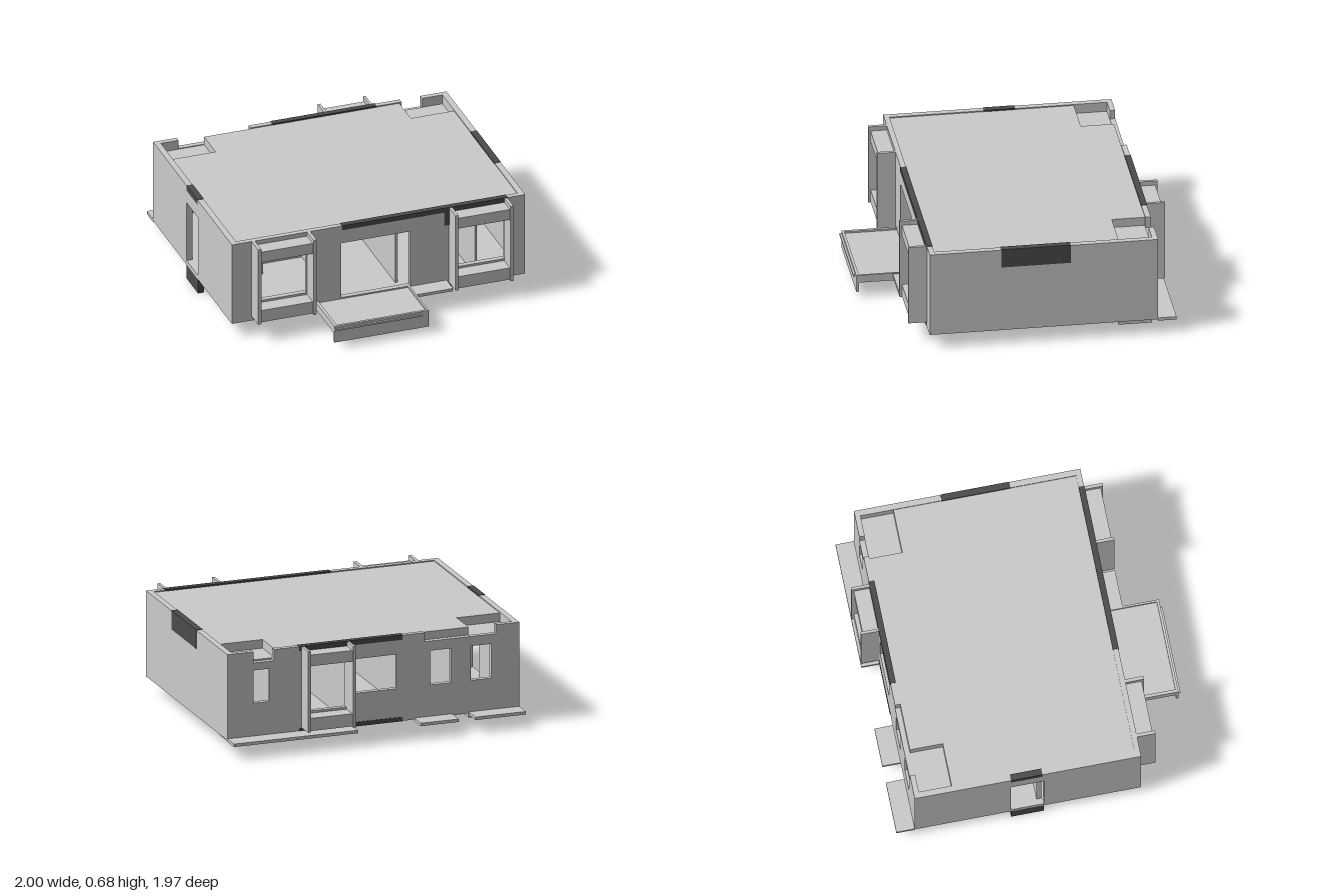
import * as THREE from 'three';

const grey = new THREE.MeshStandardMaterial({ color: 0xcccccc, flatShading: true });
const dark = new THREE.MeshStandardMaterial({ color: 0x4c4c4c, flatShading: true });

export function createModel() {
  const model = new THREE.Group();
  model.name = 'storeyModule';

  // Box given by its limits on each axis
  function box(name, x0, x1, y0, y1, z0, z1, material = grey) {
    const mesh = new THREE.Mesh(new THREE.BoxGeometry(x1 - x0, y1 - y0, z1 - z0), material);
    mesh.position.set((x0 + x1) / 2, (y0 + y1) / 2, (z0 + z1) / 2);
    mesh.name = name;
    model.add(mesh);
    return mesh;
  }

  // Outline extruded by a thickness, with rectangular holes [x0, x1, y0, y1]
  function panel(name, outline, holes, depth) {
    const shape = new THREE.Shape(outline.map(([x, y]) => new THREE.Vector2(x, y)));
    for (const [x0, x1, y0, y1] of holes) {
      shape.holes.push(new THREE.Path([[x0, y0], [x0, y1], [x1, y1], [x1, y0]].map(([x, y]) => new THREE.Vector2(x, y))));
    }
    const mesh = new THREE.Mesh(new THREE.ExtrudeGeometry(shape, { depth, bevelEnabled: false }), grey);
    mesh.name = name;
    model.add(mesh);
    return mesh;
  }

  const bottom = 0.1, top = 0.675, head = 0.55;

  // Outer walls
  panel('frontWall', [[-1, bottom], [1, bottom], [1, top], [-1, top]], [
    [-0.84, -0.49, 0.235, head],
    [-0.255, 0.215, 0.155, head],
    [0.5, 0.86, 0.235, head],
  ], 0.035).position.z = 0.58;

  panel('backWall', [
    [-1, bottom], [1, bottom], [1, top], [0.82, top], [0.82, 0.6], [0.68, 0.6], [0.68, top],
    [-0.35, top], [-0.35, 0.615], [-0.84, 0.615], [-0.84, top], [-1, top],
  ], [
    [-0.81, -0.67, 0.32, head],
    [-0.53, -0.39, 0.32, head],
    [-0.16, 0.14, 0.32, head],
    [0.185, 0.475, 0.235, head],
    [0.71, 0.82, 0.33, head],
  ], 0.035).position.z = -0.865;

  // Side wall outline runs along -z before it is turned to face sideways
  const leftWall = panel('sideWallWithDoor', [[-0.58, bottom], [0.83, bottom], [0.83, top], [-0.58, top]],
    [[0.02, 0.235, 0.13, head]], 0.04);
  leftWall.rotation.y = Math.PI / 2;
  leftWall.position.x = -1;
  box('solidSideWall', 0.96, 1, bottom, top, -0.83, 0.58);

  // Floor, and roof with two notched back corners
  box('floor', -0.96, 0.96, bottom, 0.13, -0.83, 0.58);
  const roof = panel('roof', [
    [-0.96, -0.58], [0.96, -0.58], [0.96, 0.615], [0.665, 0.615], [0.665, 0.83],
    [-0.665, 0.83], [-0.665, 0.615], [-0.96, 0.615],
  ], [], 0.11);
  roof.rotation.x = -Math.PI / 2;
  roof.position.y = 0.558;
  for (const [x0, x1] of [[-0.96, -0.665], [0.665, 0.96]]) {
    box('sunkenRoofCorner', x0, x1, 0.558, 0.61, -0.83, -0.615);
    box('sunkenFloorCorner', x0, x1, 0.06, bottom, -0.83, -0.615);
  }

  // Inner partitions
  const wallTop = 0.558;
  box('partition', -0.29, -0.255, 0.13, wallTop, -0.83, 0.58);
  box('partition', 0.155, 0.17, 0.13, wallTop, -0.83, 0.5);
  box('partition', 0.67, 0.685, 0.13, wallTop, -0.83, 0.58);
  box('partition', -0.62, -0.6, 0.13, wallTop, -0.83, 0.1);
  box('crossWall', -0.96, -0.29, 0.13, wallTop, -0.06, -0.03);
  box('crossWall', 0.17, 0.67, 0.13, wallTop, -0.16, -0.13);

  // Framed bays: two fins, a head box and a sill box
  function bay(x0, x1, fin, z0, z1) {
    box('bayFin', x0, x0 + fin, 0.13, top, z0, z1);
    box('bayFin', x1 - fin, x1, 0.13, top, z0, z1);
    const inset = z0 > 0 ? [z0, z1 - 0.015] : [z0 + 0.015, z1];
    box('bayHead', x0 + fin, x1 - fin, 0.57, 0.645, ...inset);
    box('baySill', x0 + fin, x1 - fin, 0.135, 0.22, ...inset);
  }
  bay(-0.865, -0.465, 0.022, 0.615, 0.735);
  bay(0.482, 0.877, 0.02, 0.615, 0.735);
  bay(0.165, 0.492, 0.018, -0.985, -0.865);

  // Ledges along the back
  for (const [x0, x1] of [[-1, -0.655], [-0.54, -0.28], [0.15, 1]]) {
    box('backLedge', x0, x1, 0.09, 0.11, -0.985, -0.865);
  }

  // Entrance porch
  box('porchSlab', -0.41, 0.2, 0.115, 0.145, 0.615, 0.955);
  box('porchLip', -0.43, -0.41, 0.105, 0.157, 0.615, 0.96);
  box('porchLip', 0.2, 0.213, 0.105, 0.157, 0.615, 0.96);
  box('porchApron', -0.43, 0.213, 0.04, 0.157, 0.955, 0.972);
  box('porchRail', -0.43, 0.165, 0.128, 0.14, 0.972, 0.985);
  box('porchSideLedge', 0.213, 0.465, 0.13, 0.15, 0.615, 0.735);

  // Dark trim strips and inset panels
  const trims = [
    ['frontTopTrim', -0.25, 0.88, 0.645, 0.678, 0.579, 0.618],
    ['frontDropTrim', 0.45, 0.482, 0.55, 0.67, 0.6, 0.618],
    ['frontBaseTrim', 0.45, 0.86, 0.098, 0.127, 0.579, 0.618],
    ['backTopTrim', -0.2, 0.51, 0.645, 0.678, -0.868, -0.829],
    ['backBaseTrim', -0.2, 0.51, 0.098, 0.127, -0.868, -0.829],
    ['sidePanel', 0.958, 1.001, 0.55, 0.678, -0.3, 0.15],
    ['doorHeadTrim', -1.001, -0.958, 0.64, 0.678, -0.235, -0.03],
    ['doorStep', -1, -0.96, 0, 0.1, -0.235, -0.02],
    ['underfloorBeam', -0.41, -0.375, 0.05, 0.1, -0.655, -0.01],
  ];
  for (const t of trims) box(...t, dark);

  return model;
}
